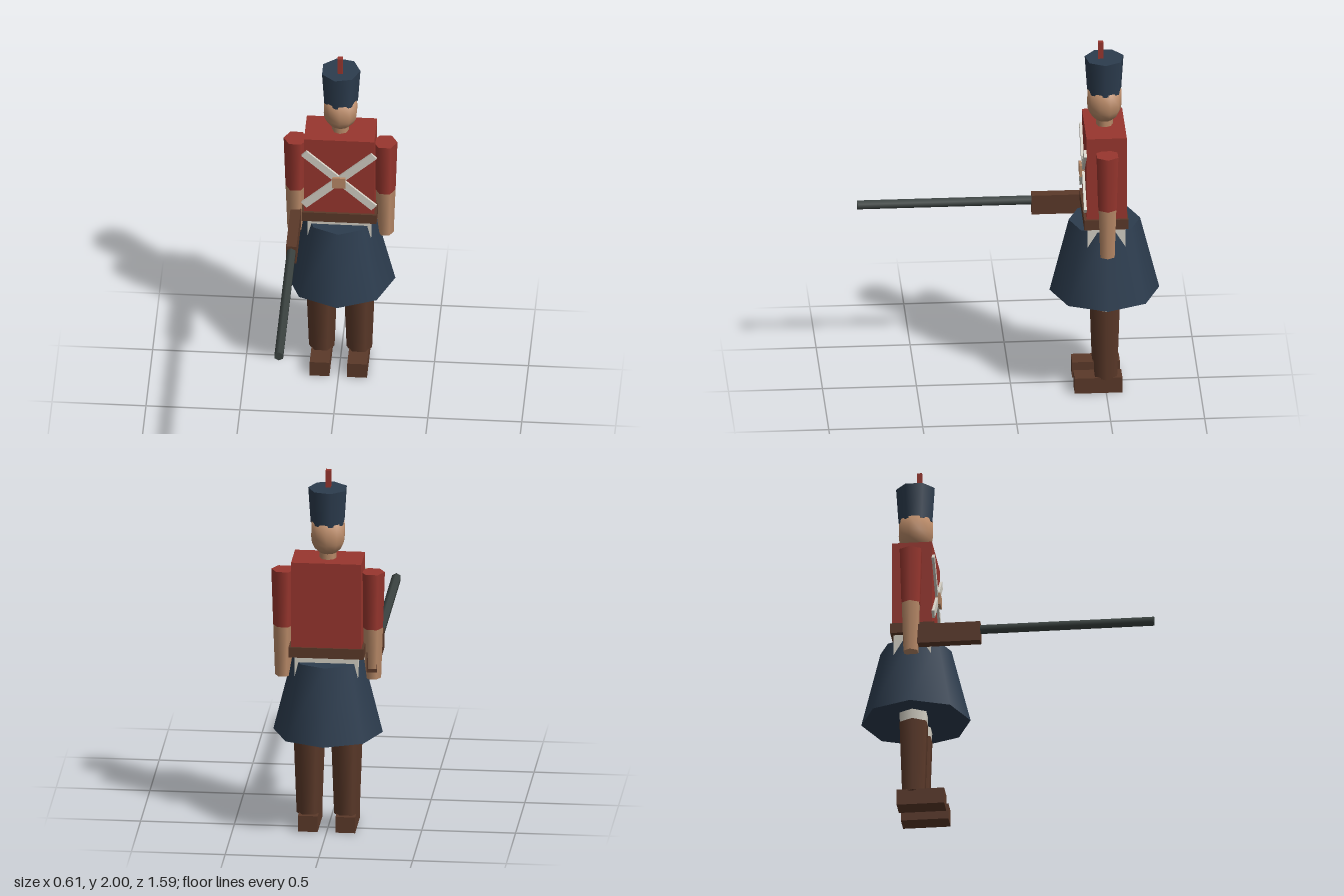
import * as THREE from 'three';

const mat = (name, color) => {
  const m = new THREE.MeshStandardMaterial({ color });
  m.name = name;
  return m;
};

export function createModel() {
  const red = mat('coat red', 0x98362e);
  const navy = mat('navy', 0x2c3c4e);
  const skin = mat('skin', 0xb98a68);
  const brown = mat('leather brown', 0x5b3929);
  const white = mat('off white', 0xd3cfc4);
  const steel = mat('gun steel', 0x3b4341);

  const model = new THREE.Group();
  model.name = 'toySoldier';
  const body = new THREE.Group();
  body.name = 'body';
  body.position.z = -0.5;
  model.add(body);

  const add = (name, geometry, material, x, y, z) => {
    const mesh = new THREE.Mesh(geometry, material);
    mesh.name = name;
    mesh.position.set(x, y, z);
    body.add(mesh);
    return mesh;
  };
  // box given by its centre x, width and its y and z ranges
  const box = (name, material, x, w, y0, y1, z0, z1) =>
    add(name, new THREE.BoxGeometry(w, y1 - y0, z1 - z0), material, x, (y0 + y1) / 2, (z0 + z1) / 2);
  // upright tapered prism with a corner pointing to +x
  const taper = (name, material, sides, x, y0, y1, r0, r1) =>
    add(name, new THREE.CylinderGeometry(r1, r0, y1 - y0, sides, 1, false, Math.PI / 2), material, x, (y0 + y1) / 2, 0);

  // head and hat
  taper('neck', skin, 8, 0, 1.49, 1.57, 0.045, 0.045);
  const headProfile = [[0, 1.545], [0.045, 1.547], [0.072, 1.572], [0.088, 1.605], [0.092, 1.64], [0.09, 1.72], [0, 1.74]];
  add('head', new THREE.LatheGeometry(headProfile.map(([r, y]) => new THREE.Vector2(r, y)), 10), skin, 0, 0, 0);
  taper('hat', navy, 7, 0, 1.71, 1.905, 0.093, 0.106);
  box('plume', red, 0, 0.028, 1.89, 2, 0.006, 0.034);

  // coat, belt, hips and skirt
  box('coat', red, 0, 0.374, 1.03, 1.515, -0.107, 0.107);
  box('belt', brown, 0, 0.4, 0.985, 1.042, -0.115, 0.12);
  box('hips', white, 0, 0.34, 0.85, 0.99, -0.1, 0.1);
  taper('skirt', navy, 8, 0, 0.545, 0.955, 0.292, 0.19);

  // crossed chest straps and buckle
  for (const s of [1, -1]) {
    const strap = box('chestStrap', white, 0, 0.505, -0.021, 0.021, 0.106, 0.121);
    strap.position.y = 1.26;
    strap.rotation.z = s * 0.74;
  }
  box('strapBuckle', skin, 0, 0.07, 1.22, 1.285, 0.11, 0.134);

  // arms and legs
  for (const [side, s] of [['left', 1], ['right', -1]]) {
    taper(side + 'Sleeve', red, 6, s * 0.238, 1.13, 1.442, 0.055, 0.065);
    taper(side + 'Forearm', skin, 6, s * 0.24, 0.85, 1.14, 0.043, 0.053);
    taper(side + 'UpperLeg', white, 6, s * 0.1, 0.48, 0.9, 0.081, 0.088);
    taper(side + 'Boot', brown, 6, s * 0.1, 0.08, 0.49, 0.068, 0.083);
    box(side + 'Shoe', brown, s * 0.1, 0.105, 0, 0.088, -0.086, 0.168);
  }

  // musket held forward in the right hand
  box('musketStock', brown, -0.236, 0.056, 0.89, 1, -0.039, 0.373);
  const barrel = add('musketBarrel', new THREE.CylinderGeometry(0.0265, 0.0265, 0.96, 6), steel, -0.236, 0.963, 0.82);
  barrel.rotation.x = Math.PI / 2;

  return model;
}
